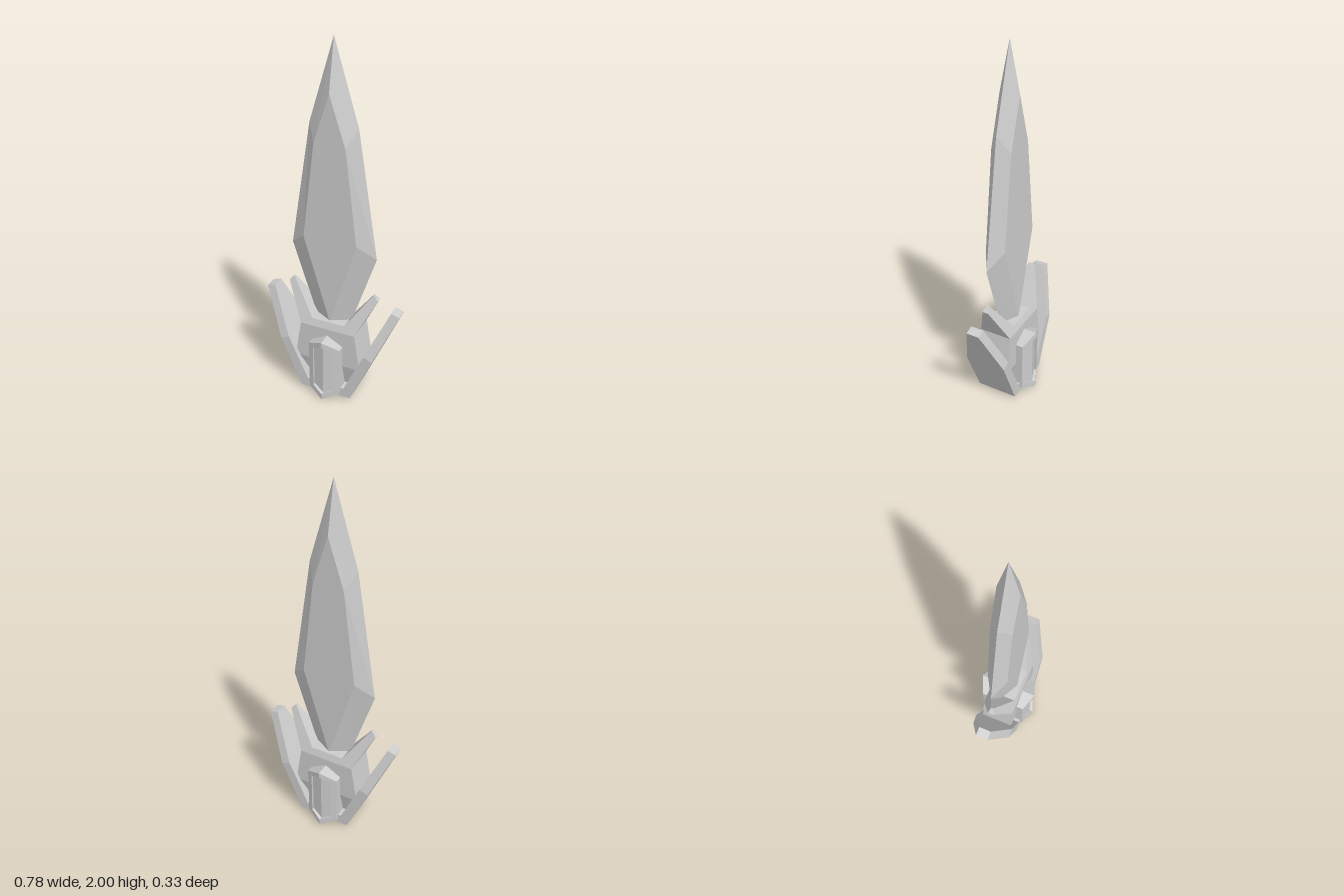
import * as THREE from 'three';

const material = new THREE.MeshStandardMaterial({ color: 0xcccccc, flatShading: true });

// Mesh from convex facets of the +x +z quarter, mirrored to all four quarters
function mirroredMesh(name, facets) {
  const positions = [];
  for (const sx of [1, -1]) for (const sz of [1, -1]) {
    for (const facet of facets) {
      const f = sx * sz > 0 ? facet : [...facet].reverse();
      for (let i = 1; i < f.length - 1; i++) {
        for (const p of [f[0], f[i], f[i + 1]]) positions.push(p[0] * sx, p[1], p[2] * sz);
      }
    }
  }
  const geometry = new THREE.BufferGeometry();
  geometry.setAttribute('position', new THREE.Float32BufferAttribute(positions, 3));
  geometry.computeVertexNormals();
  const mesh = new THREE.Mesh(geometry, material);
  mesh.name = name;
  return mesh;
}

// Front face plus walls running back to z = 0, leaving the mirror plane open
function slab(outline) {
  const facets = [outline];
  outline.forEach((a, i) => {
    const b = outline[(i + 1) % outline.length];
    if (a[0] === 0 && b[0] === 0) return;
    facets.push([a, [a[0], a[1], 0], [b[0], b[1], 0], b]);
  });
  return facets;
}

// Faceted crystal blade: sharp outer edge and a raised flat panel
function createBlade() {
  const edge = [[0, 2, 0], [0.132, 1.57, 0], [0.243, 0.88, 0], [0.095, 0.43, 0]];
  const panel = [[0, 1.74, 0.055], [0.085, 1.48, 0.055], [0.15, 0.96, 0.055], [0, 0.46, 0.055]];
  const facets = [[...panel].reverse()];
  for (let i = 0; i < 3; i++) facets.push([panel[i], panel[i + 1], edge[i + 1], edge[i]]);
  facets.push([panel[3], [0, 0.43, 0], edge[3]]);
  return mirroredMesh('blade', facets);
}

// Central block with its lower face sloping inward
function createBody() {
  const z = 0.09;
  return mirroredMesh('guardBody', [
    ...slab([[0, 0.21, z], [0.195, 0.21, z], [0.16, 0.43, z], [0, 0.43, z]]),
    ...slab([[0, 0.06, 0.05], [0.105, 0.06, 0.05], [0.195, 0.21, z], [0, 0.21, z]]),
  ]);
}

// Collar with two short prongs, thinning toward the tips
function createCollar() {
  const p = (x, y) => [x, y, 0.09 - 0.35 * (y - 0.43)];
  return mirroredMesh('collarProngs', [
    ...slab([p(0, 0.43), p(0.16, 0.43), p(0.095, 0.47), p(0, 0.47)]),
    ...slab([p(0.16, 0.43), p(0.262, 0.64), p(0.235, 0.668), p(0.095, 0.47)]),
  ]);
}

// Base bar and the two long outer arms
function createArms() {
  const z = 0.115, tip = 0.035;
  return mirroredMesh('outerArms', [
    ...slab([[0, 0.02, z], [0.15, 0.02, z], [0.11, 0.075, z], [0, 0.075, z]]),
    ...slab([[0.15, 0.02, z], [0.275, 0.31, z], [0.225, 0.33, z], [0.11, 0.075, z]]),
    ...slab([[0.275, 0.31, z], [0.392, 0.583, tip], [0.345, 0.597, tip], [0.225, 0.33, z]]),
  ]);
}

// Half hexagon, from bottom to top, with depth falling away from the ridge
const halfHex = (w, bottom, low, high, top, depth) =>
  [[0, bottom], [w, low], [w, high], [0, top]].map(([x, y]) => [x, y, depth(x)]);

// Ridged hexagonal frame on front and back
function createFrame() {
  const rim = (x) => 0.167 - 0.41 * x;
  const loops = [
    halfHex(0.092, 0, 0.045, 0.34, 0.39, () => 0),
    halfHex(0.092, 0, 0.045, 0.34, 0.39, rim),
    halfHex(0.063, 0.035, 0.066, 0.325, 0.357, rim),
    halfHex(0.063, 0.035, 0.066, 0.325, 0.357, () => 0.1),
  ];
  const facets = [];
  for (let k = 0; k < 3; k++) for (let i = 0; i < 3; i++) {
    facets.push([loops[k][i], loops[k][i + 1], loops[k + 1][i + 1], loops[k + 1][i]]);
  }
  return mirroredMesh('gemFrame', facets);
}

// Recessed gem with a vertical ridge
function createGem() {
  return mirroredMesh('gem', [halfHex(0.063, 0.035, 0.066, 0.325, 0.357, (x) => 0.145 - 0.3 * x)]);
}

export function createModel() {
  const group = new THREE.Group();
  group.name = 'crystalDagger';
  group.add(createBlade(), createBody(), createCollar(), createArms(), createFrame(), createGem());
  return group;
}
